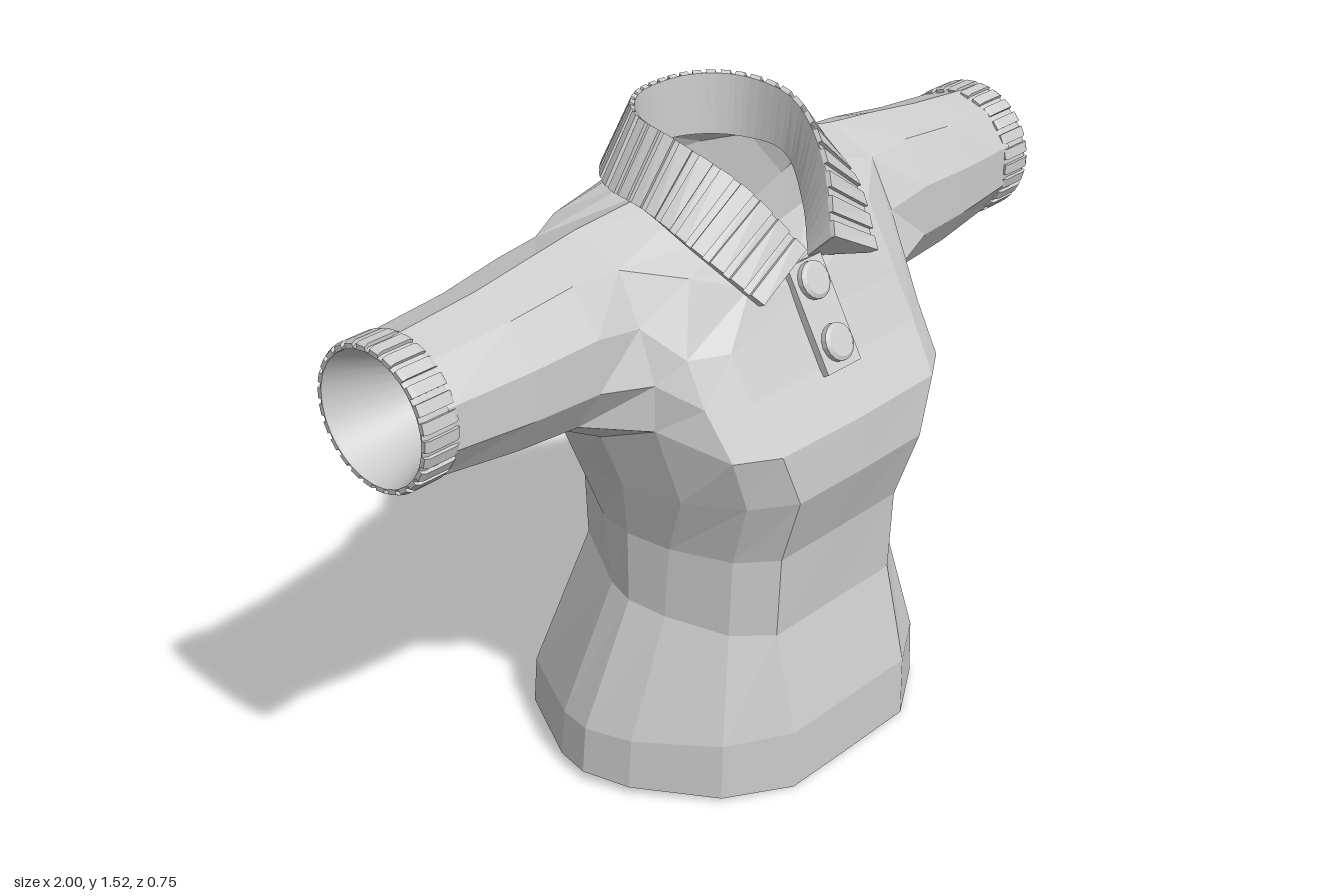
import * as THREE from 'three';

const V = (x, y, z) => new THREE.Vector3(x, y, z);
const cloth = new THREE.MeshStandardMaterial({ color: 0xcccccc, side: THREE.DoubleSide });
cloth.name = 'light grey cloth';

// Faceted skin over a list of equal-length cross-sections
function loft(name, rings, { loop = false, skip = () => false, caps = false } = {}) {
  const pos = [];
  const tri = (...pts) => pts.forEach(p => pos.push(p.x, p.y, p.z));
  const n = rings[0].length;
  const count = loop ? rings.length : rings.length - 1;
  for (let r = 0; r < count; r++) {
    const a = rings[r], b = rings[(r + 1) % rings.length];
    for (let i = 0; i < n; i++) {
      if (skip(r, i)) continue;
      const j = (i + 1) % n;
      tri(a[i], a[j], b[j], a[i], b[j], b[i]);
    }
  }
  if (caps) {
    for (const c of [rings[0], rings[rings.length - 1]]) {
      for (let i = 1; i < n - 1; i++) tri(c[0], c[i], c[i + 1]);
    }
  }
  const g = new THREE.BufferGeometry();
  g.setAttribute('position', new THREE.Float32BufferAttribute(pos, 3));
  g.computeVertexNormals();
  const mesh = new THREE.Mesh(g, cloth);
  mesh.name = name;
  return mesh;
}

// Half outline from front centre to back centre, mirrored to a closed ring of 16
const closeRing = half => [...half, ...half.slice(1, -1).reverse().map(p => V(-p.x, p.y, p.z))];

// Torso rows: height, half width, front z, back z, front panel half width,
// rise to side, rise to back, blend from round waist to flat-backed chest
const rows = [
  [0.004, 0.478, 0.338, -0.353, 0.19, 0.02, 0.008, 0],
  [0, 0.5, 0.36, -0.375, 0.2, 0.02, 0.008, 0],
  [0.15, 0.49, 0.36, -0.37, 0.2, 0, -0.02, 0],
  [0.39, 0.375, 0.305, -0.25, 0.2, 0, 0.11, 0],
  [0.59, 0.375, 0.318, -0.255, 0.2, 0, 0.06, 0.15],
  [0.76, 0.402, 0.38, -0.268, 0.21, 0, 0, 0.5],
  [0.89, 0.445, 0.375, -0.283, 0.26, 0, 0, 1],
  [1.0, 0.45, 0.30, -0.285, 0.28, 0, 0, 1],
  [1.1, 0.45, 0.245, -0.28, 0.28, 0, 0, 1],
];
const ARMPIT = 6;
const waistDepth = [1, 1, 0.88, 0.64, 0.48, 0.36, 0.07, 0.02, 0];
const chestDepth = [1, 0.99, 0.9, 0.75, 0.45, 0.1, 0.04, 0.02, 0];

function bodyHalf([y, w, zf, zb, panel, sideRise, backRise, chest]) {
  const xs = [0, panel, (panel + w) / 2, w * 0.94, w, w * 0.96, w * 0.72, w * 0.35, 0];
  return xs.map((x, i) => {
    const t = THREE.MathUtils.lerp(waistDepth[i], chestDepth[i], chest);
    return V(x, y + sideRise * (x / w) ** 3 + backRise * (1 - t), zb + (zf - zb) * t);
  });
}

function torsoHalves() {
  const halves = rows.map(bodyHalf);
  // Armhole edge, evened out into an oval
  const [a, b, c] = halves.slice(ARMPIT);
  a[3].set(0.42, 0.94, 0.15);
  a[5].set(0.43, 0.94, -0.175);
  for (const i of [3, 5]) {
    b[i].y += 0.05;
    c[i].y += 0.07;
  }
  halves.push([ // shoulder line
    V(0, 1.16, 0.215), V(0.17, 1.2, 0.195), V(0.3, 1.25, 0.14), V(0.42, 1.285, 0.055), V(0.42, 1.34, -0.07),
    V(0.42, 1.29, -0.19), V(0.32, 1.3, -0.235), V(0.17, 1.32, -0.25), V(0, 1.33, -0.25)]);
  halves.push([ // neckline
    V(0, 1.2, 0.185), V(0.045, 1.21, 0.18), V(0.11, 1.29, 0.115), V(0.17, 1.355, 0.03), V(0.182, 1.375, -0.04),
    V(0.17, 1.375, -0.11), V(0.13, 1.38, -0.17), V(0.07, 1.385, -0.21), V(0, 1.39, -0.22)]);
  return halves;
}

// Sleeve grown from the armhole edge, with a ribbed cuff and a funnel lining
function sleeve(h, s, side) {
  const group = new THREE.Group();
  group.name = side + 'Sleeve';
  const [a, b, c, e] = h.slice(ARMPIT, ARMPIT + 4);
  const armhole = [a[3], a[4], a[5], b[5], c[5], e[5], e[4], e[3], c[3], b[3]];
  const ring = (x, cy, cz, ry, rz) => armhole.map((_, i) => {
    const t = (i - 1) * Math.PI / 5;
    return V(x, cy - ry * Math.cos(t), cz - rz * Math.sin(t));
  });
  const rings = [armhole, ring(0.55, 1.13, -0.058, 0.2, 0.186),
    ring(0.72, 1.125, -0.055, 0.182, 0.17), ring(0.93, 1.122, -0.07, 0.157, 0.16)];
  const mirror = rs => rs.map(r => r.map(p => V(s * p.x, p.y, p.z)));
  group.add(loft(side + 'SleeveCloth', mirror(rings)));

  // Cuff: alternating raised and sunken ribs around the wrist
  const ribs = 26, sections = [];
  for (let i = 0; i < ribs; i++) {
    for (const [k, r] of [[0, 0.156], [0.35, 0.156], [0.35, 0.164], [1, 0.164]]) {
      const t = (i + k) * Math.PI * 2 / ribs;
      const at = (x, q) => V(x, 1.122 + q * Math.cos(t), -0.07 + q * Math.sin(t));
      sections.push([at(0.91, 0.14), at(0.91, r - 0.004), at(0.92, r), at(0.99, r), at(1, r - 0.005), at(1, 0.148)]);
    }
  }
  group.add(loft(side + 'Cuff', mirror(sections), { loop: true }));

  const funnel = new THREE.Mesh(new THREE.ConeGeometry(0.149, 0.4, 32, 1, true), cloth);
  funnel.name = side + 'SleeveLining';
  funnel.rotation.z = s * Math.PI / 2;
  funnel.position.set(s * 0.797, 1.122, -0.07);
  // Point the cone's tip towards the body
  group.add(funnel);
  return group;
}

// Folded ribbed collar swept from one front tip round the back to the other
function collar() {
  const curve = half => new THREE.CatmullRomCurve3(
    [...half, ...half.slice(0, -1).reverse().map(p => V(-p.x, p.y, p.z))]);
  const base = curve([V(0.035, 1.205, 0.185), V(0.105, 1.285, 0.11), V(0.168, 1.36, 0),
    V(0.155, 1.37, -0.12), V(0.09, 1.375, -0.19), V(0, 1.38, -0.21)]);
  const fold = curve([V(0.045, 1.26, 0.24), V(0.125, 1.4, 0.145), V(0.182, 1.485, 0.01),
    V(0.168, 1.508, -0.12), V(0.095, 1.515, -0.195), V(0, 1.515, -0.217)]);
  const edge = curve([V(0.19, 1.182, 0.247), V(0.264, 1.295, 0.125), V(0.28, 1.357, 0),
    V(0.257, 1.37, -0.13), V(0.15, 1.375, -0.235), V(0, 1.375, -0.27)]);
  const ribs = 34, sections = [];
  for (let i = 0; i < ribs; i++) {
    for (const [k, d] of [[0, 0.011], [0.65, 0.011], [0.65, 0.002], [1, 0.002]]) {
      const u = (i + k) / (ribs - 0.35);
      if (u > 1.0001) continue;
      const [b, f, e] = [base, fold, edge].map(line => line.getPoint(Math.min(u, 1)));
      // Outward direction, square to the fall of the collar
      const out = e.clone().sub(f).cross(fold.getTangent(Math.min(u, 1))).normalize();
      if (out.y < 0) out.negate();
      sections.push([b, f, f.clone().addScaledVector(out, d),
        e.clone().addScaledVector(out, d), e.clone().addScaledVector(out, -0.012),
        f.clone().lerp(e, 0.15).addScaledVector(out, -0.012)]);
    }
  }
  return loft('collar', sections, { caps: true });
}

// Sloping button strip with two buttons
function placket() {
  const group = new THREE.Group();
  group.name = 'placket';
  const strip = new THREE.Mesh(new THREE.BoxGeometry(0.112, 0.25, 0.03), cloth);
  strip.name = 'buttonStrip';
  group.add(strip);
  const profile = [[0, 0.024], [0.034, 0.024], [0.043, 0.018], [0.043, 0]].map(p => new THREE.Vector2(...p));
  for (const y of [-0.067, 0.077]) {
    const button = new THREE.Mesh(new THREE.LatheGeometry(profile, 16).toNonIndexed(), cloth);
    button.geometry.computeVertexNormals();
    button.name = 'button';
    button.rotation.x = Math.PI / 2;
    button.position.set(0, y, 0.01);
    group.add(button);
  }
  group.position.set(0, 1.095, 0.25);
  group.rotation.x = -0.5;
  return group;
}

export function createModel() {
  const shirt = new THREE.Group();
  shirt.name = 'poloShirt';
  const halves = torsoHalves();
  const armholeFaces = [3, 4, 11, 12];
  shirt.add(loft('torso', halves.map(closeRing), {
    skip: (r, i) => r >= ARMPIT && r < ARMPIT + 3 && armholeFaces.includes(i),
  }));
  shirt.add(sleeve(halves, 1, 'left'), sleeve(halves, -1, 'right'), collar(), placket());
  return shirt;
}
